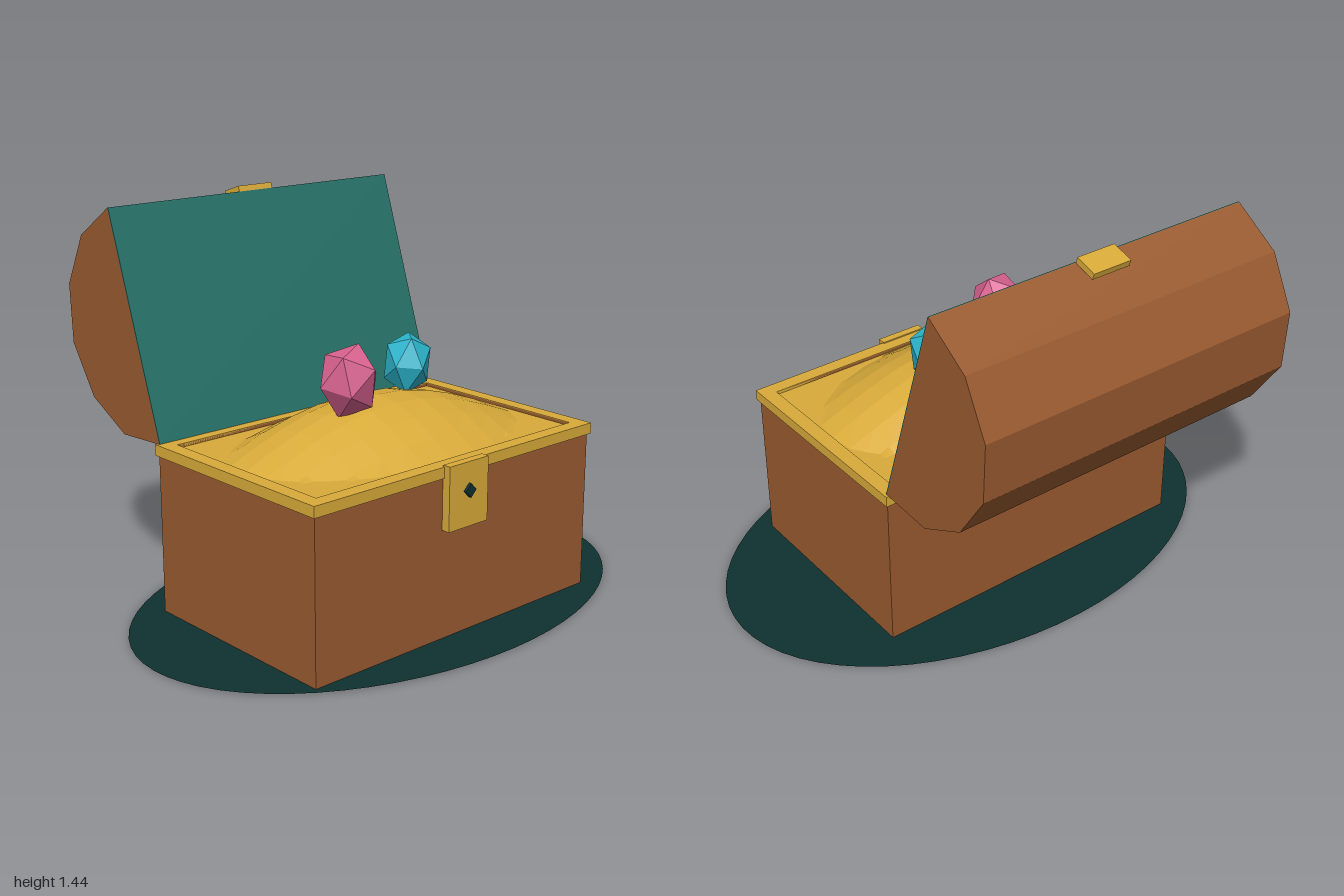
import * as THREE from 'three';

const mat = (name, color, extra = {}) => {
  const m = new THREE.MeshStandardMaterial({ color, ...extra });
  m.name = name;
  return m;
};

export function createModel() {
  const wood = mat('wood', 0x9a5b31, { flatShading: true });
  const gold = mat('gold', 0xd9ab3a, { flatShading: true });
  const teal = mat('lining', 0x27736a);
  const dark = mat('darkTeal', 0x0f3030, { side: THREE.DoubleSide });
  const pink = mat('pinkGem', 0xd9628f, { flatShading: true });
  const cyan = mat('cyanGem', 0x2cb6cd, { flatShading: true });

  const group = new THREE.Group();
  group.name = 'treasureChest';
  const add = (name, geo, material, x, y, z, parent = group) => {
    const m = new THREE.Mesh(geo, material);
    m.name = name;
    m.position.set(x, y, z);
    parent.add(m);
    return m;
  };
  const box = (name, material, w, h, d, x, y, z) =>
    add(name, new THREE.BoxGeometry(w, h, d), material, x, y, z);

  const CX = -0.045, CZ = 0.155, W = 1.3, D = 0.825;

  // Flat oval base
  const base = add('groundDisc', new THREE.CircleGeometry(1, 64), dark, 0, 0.003, 0.11);
  base.rotation.x = -Math.PI / 2;
  base.scale.y = 0.675;

  // Body: floor block and four walls
  const T = 0.045, H = 0.622;
  box('bodyCore', wood, W - 2 * T, 0.58, D - 2 * T, CX, 0.29, CZ);
  for (const s of [-1, 1]) {
    box('sideWall', wood, T, H, D, CX + s * (W - T) / 2, H / 2, CZ);
    box('endWall', wood, W - 2 * T, H, T, CX, H / 2, CZ + s * (D - T) / 2);
  }

  // Gold rim over the wall tops
  for (const s of [-1, 1]) {
    box('rimSide', gold, T + 0.01, 0.04, D + 0.02, CX + s * (W - T + 0.01) / 2, 0.605, CZ);
    box('rimEnd', gold, W - 2 * T, 0.04, T + 0.01, CX, 0.605, CZ + s * (D - T + 0.01) / 2);
  }

  // Gold fill: a flat bed with a heaped mound
  const fw = W - 2 * T, fd = D - 2 * T;
  box('goldBed', gold, fw, 0.04, fd, CX, 0.592, CZ);
  const mound = new THREE.PlaneGeometry(fw, fd, 10, 8).rotateX(-Math.PI / 2);
  const p = mound.attributes.position;
  for (let i = 0; i < p.count; i++) {
    const r = Math.hypot(p.getX(i) / (fw / 2), p.getZ(i) / (fd / 2));
    p.setY(i, 0.157 * Math.cos(r * Math.PI / 2));
  }
  // Keep the corners above the floor of the body
  for (let i = 0; i < p.count; i++) p.setY(i, Math.max(p.getY(i), -0.03));
  mound.computeVertexNormals();
  add('goldMound', mound, gold, CX, 0.612, CZ);

  // Lid: faceted arch, tilted open
  const profile = [[-0.255, 0.625], [-0.47, 0.613], [-0.66, 0.712], [-0.78, 0.893],
    [-0.79, 1.11], [-0.693, 1.3], [-0.516, 1.417]];
  const shape = new THREE.Shape(profile.map(([z, y]) => new THREE.Vector2(-z, y)));
  const lidGeo = new THREE.ExtrudeGeometry(shape, { depth: W, bevelEnabled: false });
  add('lid', lidGeo, wood, CX - W / 2, 0, 0).rotation.y = Math.PI / 2;

  // Lid lining and lid clasp share the lid's tilt
  const tilt = -0.318;
  add('lidLining', new THREE.BoxGeometry(W, 0.833, 0.004), teal, CX, 1.0215, -0.3845)
    .rotation.x = tilt;
  box('lidClasp', gold, 0.155, 0.024, 0.085, CX, 1.413, -0.558).rotation.x = tilt;

  // Lock plate with diamond keyhole
  box('lockPlate', gold, 0.185, 0.23, 0.032, CX, 0.515, 0.586);
  box('keyhole', dark, 0.036, 0.036, 0.014, CX, 0.53, 0.606).rotation.z = Math.PI / 4;

  // Gems
  const gem = (name, material, r, stretch, pos, rot) => {
    const holder = new THREE.Group();
    holder.name = name + 'Holder';
    holder.position.set(...pos);
    holder.rotation.set(...rot);
    group.add(holder);
    add(name, new THREE.IcosahedronGeometry(r, 0), material, 0, 0, 0, holder).scale.y = stretch;
  };
  gem('pinkGem', pink, 0.112, 1.25, [-0.222, 0.858, 0.197], [0.2, 0.4, 0.15]);
  gem('cyanGem', cyan, 0.092, 1.3, [0.146, 0.84, 0.102], [0.15, 0.9, -0.1]);

  return group;
}
